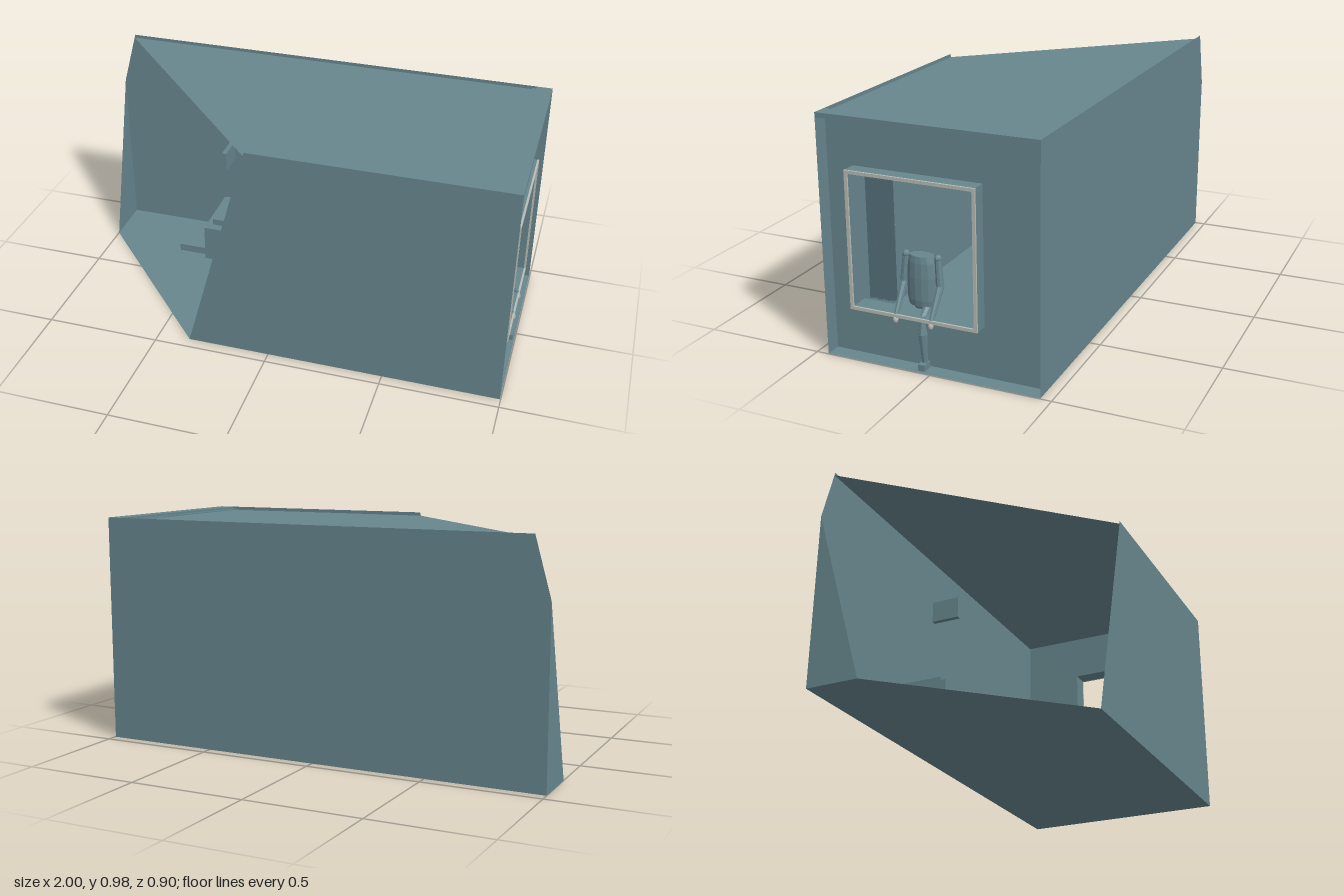
import * as THREE from 'three';

const mat = (name, color, side = THREE.FrontSide) => {
  const m = new THREE.MeshStandardMaterial({ color, side, flatShading: true });
  m.name = name;
  return m;
};

export function createModel() {
  const teal = mat('blue grey', 0x67868e, THREE.DoubleSide);
  const pale = mat('pale trim', 0xb9bdb6);
  const dark = mat('dark curtain', 0x4a626b, THREE.DoubleSide);
  const root = new THREE.Group();
  root.name = 'cutawayRoom';

  const add = (name, geo, m = teal, parent = root) => {
    const mesh = new THREE.Mesh(geo, m);
    mesh.name = name;
    parent.add(mesh);
    return mesh;
  };
  // box given by its min and max corners
  const box = (name, a, b, m, parent) => {
    const mesh = add(name, new THREE.BoxGeometry(b[0] - a[0], b[1] - a[1], b[2] - a[2]), m, parent);
    mesh.position.set((a[0] + b[0]) / 2, (a[1] + b[1]) / 2, (a[2] + b[2]) / 2);
    return mesh;
  };
  // flat convex panel
  const panel = (name, pts) => {
    const p = [];
    for (let i = 1; i < pts.length - 1; i++) p.push(...pts[0], ...pts[i], ...pts[i + 1]);
    const g = new THREE.BufferGeometry();
    g.setAttribute('position', new THREE.Float32BufferAttribute(p, 3));
    g.computeVertexNormals();
    return add(name, g);
  };

  // room shell, open along one slanted plane
  const F = 0.45, B = -0.455, H = 0.98, R = 0.997, roofY = 0.965, wallX = 0.93;
  const cut = (y, z) => -0.36 + 0.935 * (z - F) + 0.28 * y;
  const cutZ = F - 0.64 / 0.935;
  const cutY = (-1 - cut(0, B)) / 0.28;
  panel('frontWall', [[cut(0, F), 0, F], [R, 0, F], [R, H, F], [cut(H, F), H, F]]);
  panel('backWall', [[R, 0, B], [-1, 0, B], [-1, cutY, B], [cut(H, B), H, B], [R, H, B]]);
  panel('floor', [[R, 0, F], [cut(0, F), 0, F], [-1, 0, cutZ], [-1, 0, B], [R, 0, B]]);
  panel('roof', [[wallX - 0.01, roofY, F], [wallX - 0.01, roofY, B], [cut(roofY, B), roofY, B], [cut(roofY, F), roofY, F]]);
  panel('sideWall', [[-1, 0, B], [-1, 0, cutZ], [-1, cutY, B]]);
  box('roofRim', [wallX, roofY - 0.005, B], [R, H, F]);

  // end wall with the window hole (shape x is -z)
  const z0 = -0.2, z1 = 0.34, y0 = 0.21, y1 = 0.77, t = 0.013;
  const rect = (s, a, b, c, d) => {
    s.moveTo(a, b); s.lineTo(c, b); s.lineTo(c, d); s.lineTo(a, d); s.closePath();
    return s;
  };
  const ringShape = (o, h) => {
    const s = rect(new THREE.Shape(), ...o);
    s.holes.push(rect(new THREE.Path(), ...h));
    return s;
  };
  const hole = [-z1 + t, y0 + t, -z0 - t, y1 - t];
  const outer = [-z1, y0, -z0, y1];
  const slab = (name, shape, x, depth, m) => {
    const mesh = add(name, new THREE.ExtrudeGeometry(shape, { depth, bevelEnabled: false }), m);
    mesh.rotation.y = Math.PI / 2;
    mesh.position.x = x;
  };
  slab('windowWall', ringShape([-F, 0, -B, H - 0.01], hole), wallX - 0.02, 0.02, teal);
  slab('windowFrame', ringShape(outer, hole), wallX, 0.056, teal);
  slab('frameTrim', ringShape(outer, hole), wallX + 0.056, 0.008, pale);

  // gathered curtain with narrow pleats
  const cloth = new THREE.PlaneGeometry(0.11, 0.53, 22, 1);
  const cp = cloth.attributes.position;
  for (let i = 0; i < cp.count; i++) {
    const k = i % 23;
    cp.setZ(i, (k % 2 ? 0.016 : -0.016) * (0.8 + 0.2 * Math.sin(k * 2.3)));
  }
  const curtain = add('curtain', cloth, dark);
  curtain.rotation.y = Math.PI / 2;
  curtain.position.set(0.885, 0.488, 0.258);

  // furniture
  box('bed', [-0.51, 0.002, -0.44], [-0.05, 0.175, -0.15]);
  box('pillow', [-0.48, 0.175, -0.4], [-0.36, 0.205, -0.19]);
  box('bedStep', [-0.65, 0.002, -0.4], [-0.51, 0.037, -0.18]);
  box('wallPanel', [-0.41, 0.5, -0.28], [-0.39, 0.59, -0.16]);
  box('curtainPull', [0.88, 0.485, 0.189], [0.89, 0.54, 0.194]);

  // headless seated figure, one leg over the sill
  const figure = new THREE.Group();
  figure.name = 'figure';
  root.add(figure);
  const profile = [[0, 0.245], [0.056, 0.245], [0.062, 0.27], [0.063, 0.36], [0.058, 0.42], [0.05, 0.446], [0, 0.446]]
    .map(([r, y]) => new THREE.Vector2(r, y));
  const torso = add('torso', new THREE.LatheGeometry(profile, 14), teal, figure);
  torso.scale.x = 0.6;
  torso.position.set(0.905, 0, 0.07);

  // tapered limb between two points
  const limb = (name, a, b, ra, rb, m = teal) => {
    const p = new THREE.Vector3(...a), q = new THREE.Vector3(...b), d = q.clone().sub(p);
    const mesh = add(name, new THREE.CylinderGeometry(rb, ra, d.length(), 8), m, figure);
    mesh.position.copy(p).add(q).multiplyScalar(0.5);
    mesh.quaternion.setFromUnitVectors(new THREE.Vector3(0, 1, 0), d.normalize());
  };
  for (const s of [1, -1]) {
    const z = (o) => 0.07 + s * o;
    const shoulder = [0.905, 0.44, z(0.068)], elbow = [0.91, 0.33, z(0.077)], wrist = [0.985, 0.215, z(0.075)];
    const cap = add('shoulder', new THREE.SphereGeometry(0.015, 8, 6), teal, figure);
    cap.position.set(...shoulder);
    limb('upperArm', shoulder, elbow, 0.013, 0.016);
    limb('forearm', elbow, wrist, 0.016, 0.009);
    const hand = add('hand', new THREE.SphereGeometry(0.012, 8, 6), pale, figure);
    hand.scale.set(0.9, 1.3, 0.9);
    hand.position.set(0.988, 0.2, z(0.075));
  }
  limb('outerThigh', [0.905, 0.25, 0.045], [0.965, 0.205, 0.043], 0.018, 0.017);
  limb('outerKnee', [0.965, 0.215, 0.043], [0.967, 0.15, 0.042], 0.008, 0.019);
  limb('outerShin', [0.967, 0.15, 0.042], [0.96, 0.025, 0.04], 0.018, 0.011);
  box('outerFoot', [0.945, 0.004, 0.026], [0.99, 0.03, 0.055], teal, figure);
  limb('innerThigh', [0.905, 0.25, 0.097], [0.86, 0.2, 0.1], 0.018, 0.017);
  limb('innerShin', [0.86, 0.21, 0.1], [0.86, 0.025, 0.1], 0.018, 0.011);
  box('innerFoot', [0.845, 0.004, 0.085], [0.89, 0.03, 0.115], teal, figure);

  return root;
}
